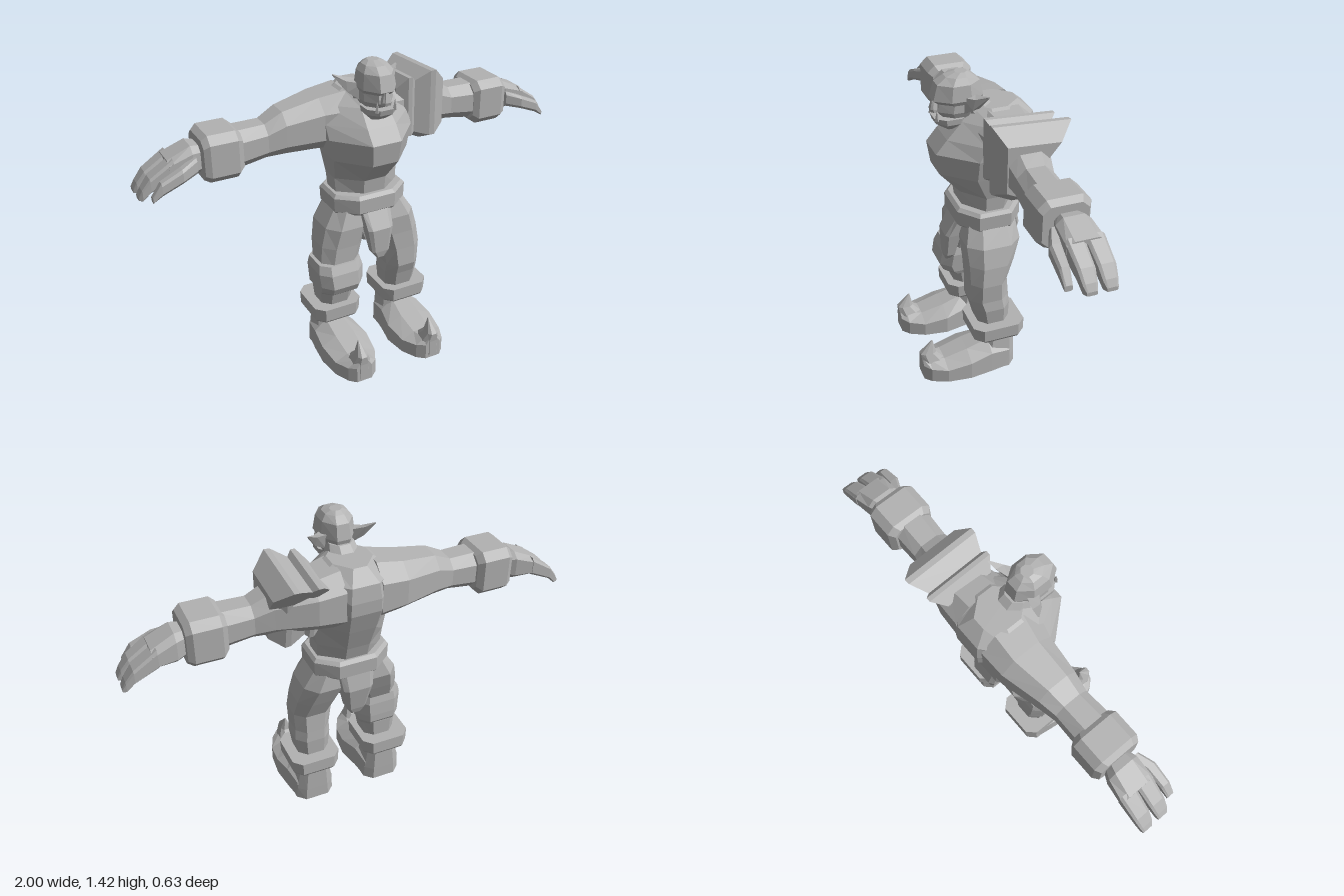
import * as THREE from 'three';

const grey = new THREE.MeshStandardMaterial({ color: 0xb2b2b2 });
grey.name = 'grey';

// Eight-cornered outline from ranges; c is the corner cut, cLow the cut on the low-b side
function outline(a0, a1, b0, b1, c = 0.25, cLow = c) {
  const da = (a1 - a0) * c, db = (b1 - b0) * c, ea = (a1 - a0) * cLow, eb = (b1 - b0) * cLow;
  return [[a0 + ea, b0], [a1 - ea, b0], [a1, b0 + eb], [a1, b1 - db],
    [a1 - da, b1], [a0 + da, b1], [a0, b1 - db], [a0, b0 + eb]];
}

// Capped, faceted solid through rings [t, points] along an axis; side -1 mirrors in x
function solid(axis, rings, side = 1) {
  const place = (t, [a, b]) => axis === 'y' ? [a * side, t, b]
    : axis === 'x' ? [t * side, a, b] : [a * side, b, t];
  const n = rings[0][1].length, verts = [], tris = [];
  for (const [t, pts] of rings) for (const p of pts) verts.push(new THREE.Vector3(...place(t, p)));
  for (let r = 0; r < rings.length - 1; r++) for (let i = 0; i < n; i++) {
    const j = (i + 1) % n, p = r * n, q = p + n;
    tris.push([p + i, p + j, q + j], [p + i, q + j, q + i]);
  }
  const last = (rings.length - 1) * n;
  for (let i = 1; i < n - 1; i++) tris.push([0, i + 1, i], [last, last + i, last + i + 1]);
  // turn every face outward
  let volume = 0;
  const cross = new THREE.Vector3();
  for (const [i, j, k] of tris) volume += verts[i].dot(cross.crossVectors(verts[j], verts[k]));
  const pos = [];
  for (const [i, j, k] of tris)
    for (const v of volume < 0 ? [i, k, j] : [i, j, k]) pos.push(verts[v].x, verts[v].y, verts[v].z);
  const g = new THREE.BufferGeometry();
  g.setAttribute('position', new THREE.Float32BufferAttribute(pos, 3));
  g.computeVertexNormals();
  return g;
}

export function createModel() {
  const model = new THREE.Group();
  model.name = 'ogreWarrior';
  const add = (name, geometry, parent = model) => {
    const m = new THREE.Mesh(geometry, grey);
    m.name = name;
    parent.add(m);
    return m;
  };
  // rows: [t, a0, a1, b0, b1]
  const loft = (name, axis, rows, c = 0.25, side = 1, cLow = c) =>
    add(name, solid(axis, rows.map(([t, ...r]) => [t, outline(...r, c, cLow)]), side));
  // symmetric rows along y: [y, half width, z0, z1]
  const body = (name, rows, c) => loft(name, 'y', rows.map(([y, w, z0, z1]) => [y, -w, w, z0, z1]), c);

  // Trunk
  body('torso', [[0.79, 0.15, -0.17, 0.06], [0.88, 0.155, -0.195, 0.07], [0.99, 0.18, -0.235, 0.165],
    [1.09, 0.2, -0.268, 0.18], [1.15, 0.2, -0.27, 0.13], [1.22, 0.18, -0.26, 0.06],
    [1.275, 0.09, -0.2, 0.01]], 0.33);
  body('pelvis', [[0.56, 0.06, -0.1, 0.04], [0.66, 0.14, -0.15, 0.06], [0.75, 0.16, -0.17, 0.06]], 0.25);
  body('belt', [[0.72, 0.165, -0.185, 0.08], [0.735, 0.175, -0.2, 0.095], [0.8, 0.178, -0.2, 0.095],
    [0.815, 0.165, -0.185, 0.08]], 0.25);
  body('frontLoincloth', [[0.51, 0.02, 0.105, 0.13], [0.54, 0.042, 0.085, 0.135],
    [0.655, 0.062, 0.06, 0.137], [0.735, 0.07, 0.04, 0.09]], 0.15);
  body('backLoincloth', [[0.51, 0.025, -0.185, -0.16], [0.54, 0.045, -0.195, -0.12],
    [0.66, 0.07, -0.217, -0.12], [0.735, 0.08, -0.2, -0.1]], 0.15);

  // Head
  body('neck', [[1.18, 0.09, -0.16, 0.06], [1.25, 0.07, -0.11, 0.05], [1.3, 0.055, -0.05, 0.07]], 0.28);
  body('skull', [[1.235, 0.055, -0.01, 0.13], [1.265, 0.068, -0.03, 0.155], [1.3, 0.068, -0.04, 0.15],
    [1.318, 0.077, -0.045, 0.174], [1.385, 0.069, -0.03, 0.155], [1.412, 0.05, 0, 0.115],
    [1.425, 0.025, 0.02, 0.07]], 0.3);
  body('jaw', [[1.185, 0.04, 0.08, 0.125], [1.215, 0.068, 0.03, 0.165], [1.24, 0.07, 0.02, 0.172]], 0.28);
  body('nose', [[1.262, 0.022, 0.13, 0.178], [1.275, 0.022, 0.13, 0.182], [1.315, 0.01, 0.13, 0.172]], 0.2);

  // Armoured left shoulder
  const plate = [[1.315, 0.03], [1.295, -0.31], [1.19, -0.225], [0.96, -0.18], [0.965, -0.06], [1.01, 0.03]];
  const scaled = (x, k) => [x, plate.map(([y, z]) => [1.11 + (y - 1.11) * k, -0.1 + (z + 0.1) * k])];
  add('outerShoulderPlate', solid('x', [scaled(0.21, 0.72), scaled(0.3, 0.99), scaled(0.325, 1), scaled(0.39, 0.68)]));
  add('innerShoulderPlate', solid('x', [scaled(0.15, 0.65), scaled(0.195, 0.9), scaled(0.215, 0.9), scaled(0.25, 0.7)]));

  for (const s of [1, -1]) {
    const side = s > 0 ? 'left' : 'right';

    // Ears and tusks
    add(side + 'Ear', solid('x', [
      [0.055, [[1.25, 0.06], [1.26, 0.02], [1.335, 0], [1.33, 0.06]]],
      [0.11, [[1.29, 0.03], [1.295, 0], [1.345, -0.02], [1.335, 0.02]]],
      [0.152, [[1.352, -0.02], [1.354, -0.025], [1.36, -0.028], [1.358, -0.02]]]], s));
    const tusk = add(side + 'Tusk', new THREE.ConeGeometry(0.011, 0.05, 4).toNonIndexed());
    tusk.geometry.computeVertexNormals();
    tusk.position.set(s * 0.042, 1.258, 0.163);

    // Arm, cuff and hand
    loft(side + 'Arm', 'x', [[0.08, 1.0, 1.27, -0.255, 0.03], [0.2, 1.02, 1.25, -0.25, 0],
      [0.37, 1.03, 1.22, -0.205, -0.015], [0.45, 1.03, 1.18, -0.185, -0.025],
      [0.59, 1.01, 1.18, -0.185, -0.015]], 0.25, s);
    loft(side + 'Cuff', 'x', [[0.565, 1.01, 1.175, -0.195, -0.015], [0.59, 0.987, 1.195, -0.217, 0.003],
      [0.71, 0.987, 1.195, -0.217, 0.003], [0.735, 1.0, 1.175, -0.2, -0.01]], 0.16, s);
    loft(side + 'Hand', 'x', [[0.72, 1.025, 1.14, -0.165, -0.06], [0.77, 1.015, 1.148, -0.19, -0.045],
      [0.87, 1.025, 1.105, -0.205, -0.045]], 0.2, s);
    for (const [name, z0, z1] of [['OuterFinger', -0.205, -0.125], ['InnerFinger', -0.123, -0.045]])
      loft(side + name, 'x', [[0.85, 1.03, 1.112, z0, z1], [0.95, 0.985, 1.045, z0, z1 - 0.008],
        [0.985, 0.953, 1.0, z0 + 0.005, z1 - 0.015], [1.0, 0.955, 0.972, z0 + 0.01, z1 - 0.025]], 0.15, s);
    loft(side + 'Thumb', 'x', [[0.76, 1.04, 1.11, -0.07, -0.025], [0.83, 1.025, 1.085, -0.045, 0.005],
      [0.92, 0.99, 1.045, -0.038, 0.005], [0.96, 0.965, 0.99, -0.033, 0]], 0.2, s);

    // Leg
    loft(side + 'Leg', 'y', [[0.75, 0.02, 0.165, -0.16, 0.055], [0.66, 0.015, 0.222, -0.17, 0.08],
      [0.57, 0.04, 0.245, -0.135, 0.075], [0.48, 0.07, 0.255, -0.097, 0.075],
      [0.39, 0.085, 0.25, -0.105, 0.078], [0.34, 0.085, 0.255, -0.11, 0.06],
      [0.22, 0.1, 0.24, -0.107, 0.03]], 0.24, s);
    loft(side + 'Anklet', 'y', [[0.188, 0.075, 0.285, -0.16, 0.065], [0.2, 0.067, 0.292, -0.167, 0.075],
      [0.262, 0.064, 0.295, -0.167, 0.078]], 0.16, s);

    // Boot with curled toe spike
    loft(side + 'BootShaft', 'y', [[0, 0.085, 0.27, -0.133, 0.05], [0.06, 0.09, 0.265, -0.133, 0.03],
      [0.2, 0.105, 0.245, -0.13, -0.005]], 0.2, s);
    loft(side + 'BootFoot', 'z', [[-0.1, 0.09, 0.265, 0, 0.13], [-0.005, 0.08, 0.28, 0, 0.152],
      [0.1, 0.06, 0.292, 0, 0.123], [0.21, 0.075, 0.28, 0, 0.095], [0.28, 0.11, 0.25, 0, 0.1],
      [0.31, 0.145, 0.22, 0, 0.11]], 0.3, s, 0);
    loft(side + 'ToeSpike', 'y', [[0.01, 0.145, 0.22, 0.25, 0.312], [0.09, 0.14, 0.225, 0.205, 0.312],
      [0.13, 0.16, 0.21, 0.243, 0.316], [0.19, 0.182, 0.188, 0.255, 0.261]], 0.25, s);
  }

  // Right knee guard
  loft('kneeGuard', 'y', [[0.335, 0.075, 0.255, -0.105, 0.075], [0.355, 0.068, 0.268, -0.115, 0.1],
    [0.39, 0.065, 0.272, -0.115, 0.117], [0.455, 0.06, 0.278, -0.11, 0.105],
    [0.495, 0.068, 0.27, -0.1, 0.085]], 0.2, -1);

  return model;
}
